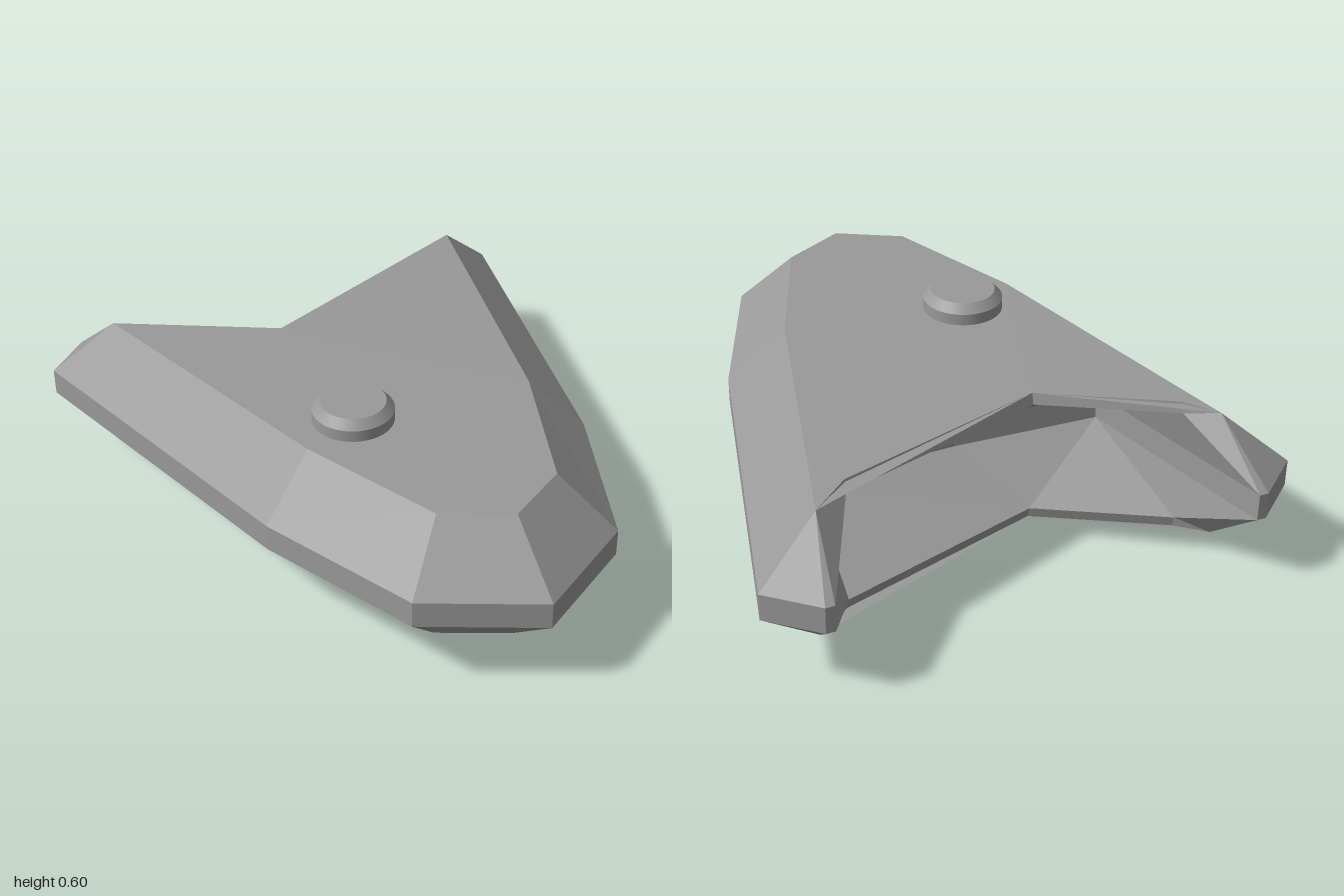
import * as THREE from 'three';

const MID = 0.298;            // height of the symmetry plane
const BAND = 0.045, TOP = 0.232, LIP = 0.195; // heights above that plane

// widest outline, nose to arm tip, and the smaller outline of the flat face: [x, z]
const rim = [[0, 1], [0.36, 0.8], [0.58, 0.27], [0.86, -0.87], [0.71, -1], [0.68, -1]];
const face = [[0, 0.785], [0.21, 0.67], [0.4, 0.2], [0.655, -0.79]];

// collects polygons for one quarter of the body, mirrored by side (x) and flip (y)
function collector(side, flip, out) {
  return (...pts) => {
    const p = pts.map(([x, y, z]) => [x, MID + flip * y, z]);
    if (side * flip < 0) p.reverse();
    for (let i = 1; i < p.length - 1; i++) out.push(...p[0], ...p[i], ...p[i + 1]);
  };
}

function toMesh(name, positions, material) {
  const g = new THREE.BufferGeometry();
  g.setAttribute('position', new THREE.Float32BufferAttribute(positions, 3));
  g.computeVertexNormals();
  const m = new THREE.Mesh(g, material);
  m.name = name;
  return m;
}

export function createModel() {
  const group = new THREE.Group();
  group.name = 'wedgeBody';
  const grey = new THREE.MeshStandardMaterial({ color: 0x999999 });
  grey.name = 'grey';

  const shell = [], recess = [];
  for (const side of [1, -1]) {
    for (const flip of [1, -1]) {
      const add = collector(side, flip, shell);
      const addIn = collector(side, flip, recess);
      const at = ([x, z], y) => [side * x, y, z];
      const R = rim.map((p) => at(p, BAND));
      const F = face.map((p, i) => at(p, i === 3 ? TOP - 0.01 : TOP));
      const low = (p) => [p[0], 0, p[2]];

      // lip of the rear notch, which sits off centre
      const L = side > 0 ? [0.53, TOP, -0.69] : [-0.57, TOP, -0.7];
      const N = [-0.17, TOP, -0.475];
      const Lb = [L[0], LIP, L[2] - 0.01];
      const Nb = [N[0], LIP, N[2] - 0.01];
      // back wall of the recess
      const C = [side * 0.5, BAND, -0.29];
      const M = [0, BAND, -0.27];

      // upright band and bevels around the outside
      for (let i = 0; i < 5; i++) add(low(R[i]), low(R[i + 1]), R[i + 1], R[i]);
      for (let i = 0; i < 3; i++) add(R[i], R[i + 1], F[i + 1], F[i]);
      add(R[3], R[4], F[3]);
      add(R[4], R[5], F[3]);
      // flat face
      for (let i = 0; i < 3; i++) add(N, F[i], F[i + 1]);
      add(N, F[3], L);

      // arm inner walls, back wall, sloping roof or floor, lip edge
      addIn(low(R[5]), low(C), C, R[5]);
      addIn(low(C), low(M), M, C);
      addIn(R[5], Lb, F[3]);
      addIn(F[3], Lb, L);
      addIn(R[5], C, Lb);
      addIn(C, M, Nb);
      addIn(C, Nb, Lb);
      addIn(Lb, Nb, N, L);
    }
  }
  group.add(toMesh('outerShell', shell, grey), toMesh('rearRecess', recess, grey));

  // round studs with a chamfered end, above and below
  for (const flip of [1, -1]) {
    const stud = new THREE.Group();
    stud.name = flip > 0 ? 'upperStud' : 'lowerStud';
    const base = new THREE.Mesh(new THREE.CylinderGeometry(0.132, 0.132, 0.06, 48, 1, true), grey);
    base.name = 'studSide';
    base.position.y = 0.241;
    const cap = new THREE.Mesh(new THREE.CylinderGeometry(0.106, 0.132, 0.029, 48), grey);
    cap.name = 'studCap';
    cap.position.y = 0.2855;
    stud.add(base, cap);
    stud.position.set(-0.198, MID, 0.115);
    if (flip < 0) stud.rotation.x = Math.PI;
    group.add(stud);
  }
  return group;
}
